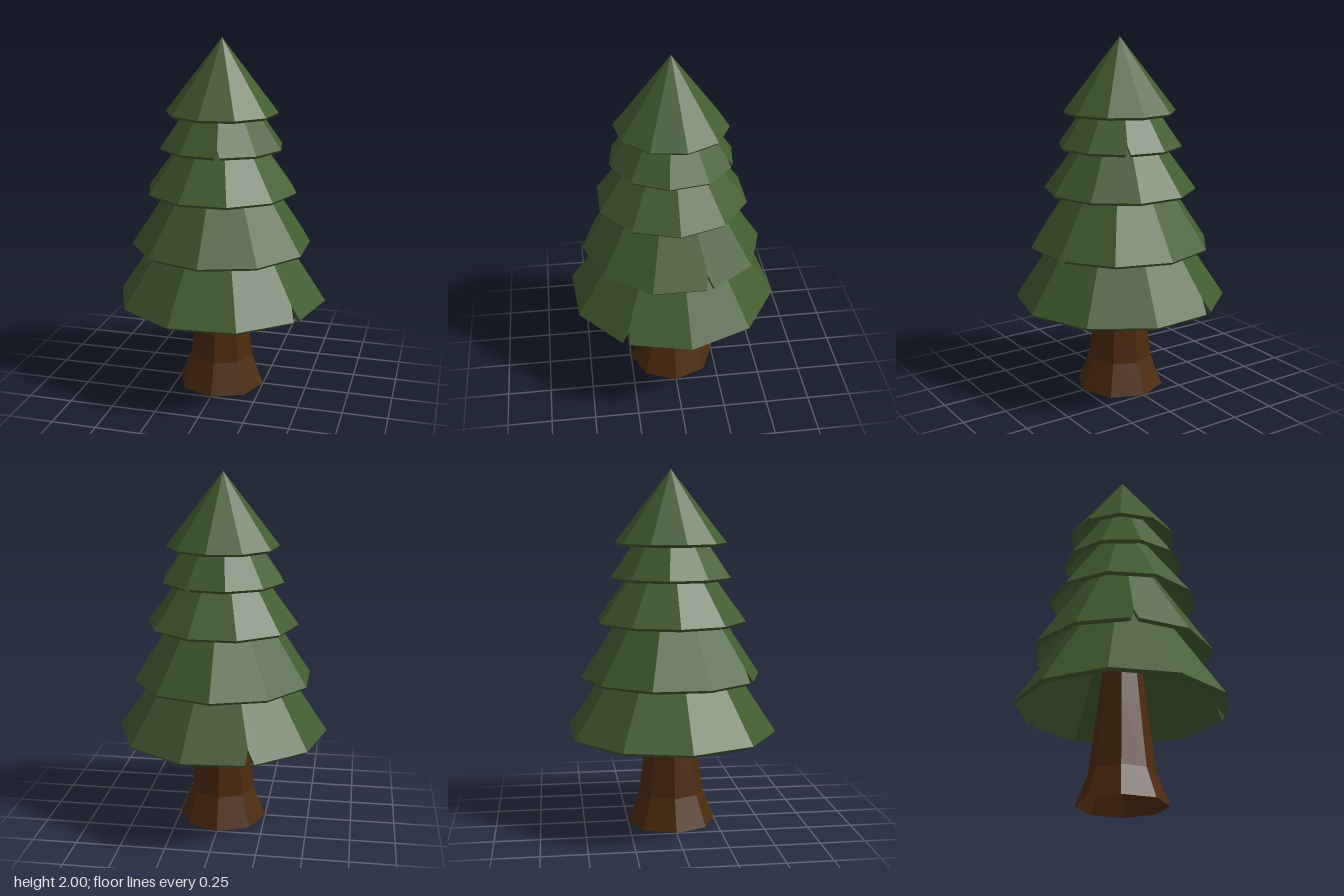
import * as THREE from 'three';

const SIDES = 10;
const LIP_DROP = 0.015, LIP_INSET = 0.015;

// Rim outline of a tier; a notched corner is split in two with a tip pushed up the slope
function rimOutline(radius, rimY, apexY, offsetDeg, notches) {
  const corner = (i) => {
    const a = THREE.MathUtils.degToRad(offsetDeg + (i * 360) / SIDES);
    return new THREE.Vector3(radius * Math.cos(a), rimY, radius * Math.sin(a));
  };
  const apex = new THREE.Vector3(0, apexY, 0);
  const points = [];
  for (let i = 0; i < SIDES; i++) {
    const c = corner(i);
    if (notches.includes(i)) {
      points.push(c.clone().lerp(corner(i - 1), 0.072));
      points.push(c.clone().lerp(apex, 0.085));
      points.push(c.clone().lerp(corner(i + 1), 0.072));
    } else points.push(c);
  }
  return points;
}

// Hollow cone: outer slope, bevelled lip and inner slope
function tierGeometry({ radius, rimY, apexY, offset, notches }) {
  const outer = rimOutline(radius, rimY, apexY, offset, notches);
  const shrink = (radius - LIP_INSET) / radius;
  const inner = outer.map((p) => new THREE.Vector3(p.x * shrink, p.y - LIP_DROP, p.z * shrink));
  const top = new THREE.Vector3(0, apexY, 0);
  const innerTop = new THREE.Vector3(0, rimY - LIP_DROP + (apexY - rimY) * shrink, 0);
  const tris = [];
  outer.forEach((a, i) => {
    const j = (i + 1) % outer.length;
    const b = outer[j], c = inner[i], d = inner[j];
    tris.push(top, b, a);
    tris.push(a, b, d, a, d, c);
    tris.push(innerTop, c, d);
  });
  const geometry = new THREE.BufferGeometry().setFromPoints(tris);
  geometry.computeVertexNormals();
  return geometry;
}

export function createModel() {
  const model = new THREE.Group();
  model.name = 'pineTree';
  const foliageMaterial = new THREE.MeshStandardMaterial({
    color: 0x435c30, flatShading: true, side: THREE.DoubleSide,
  });
  const barkMaterial = new THREE.MeshStandardMaterial({
    color: 0x4d2b0e, flatShading: true, side: THREE.DoubleSide,
  });

  // Trunk: eight-sided, flared at the foot, open below
  const trunkProfile = [[0.25, 0], [0.183, 0.175], [0.138, 0.53], [0.07, 1.1]]
    .map(([r, y]) => new THREE.Vector2(r, y));
  const trunk = new THREE.Mesh(new THREE.LatheGeometry(trunkProfile, 8), barkMaterial);
  trunk.name = 'trunk';
  model.add(trunk);

  // Foliage tiers, bottom to top; notches are corner numbers
  const tiers = [
    { radius: 0.596, rimY: 0.538, apexY: 1.43, offset: -4, notches: [1, 7] },
    { radius: 0.508, rimY: 0.852, apexY: 1.62, offset: 18, notches: [3, 9] },
    { radius: 0.424, rimY: 1.166, apexY: 1.74, offset: 0, notches: [] },
    { radius: 0.347, rimY: 1.41, apexY: 1.9, offset: 8, notches: [2, 8] },
    { radius: 0.312, rimY: 1.597, apexY: 2, offset: -9, notches: [] },
  ];
  const foliage = new THREE.Group();
  foliage.name = 'foliage';
  tiers.forEach((tier, i) => {
    const mesh = new THREE.Mesh(tierGeometry(tier), foliageMaterial);
    mesh.name = `foliageTier${i + 1}`;
    foliage.add(mesh);
  });
  model.add(foliage);
  return model;
}
